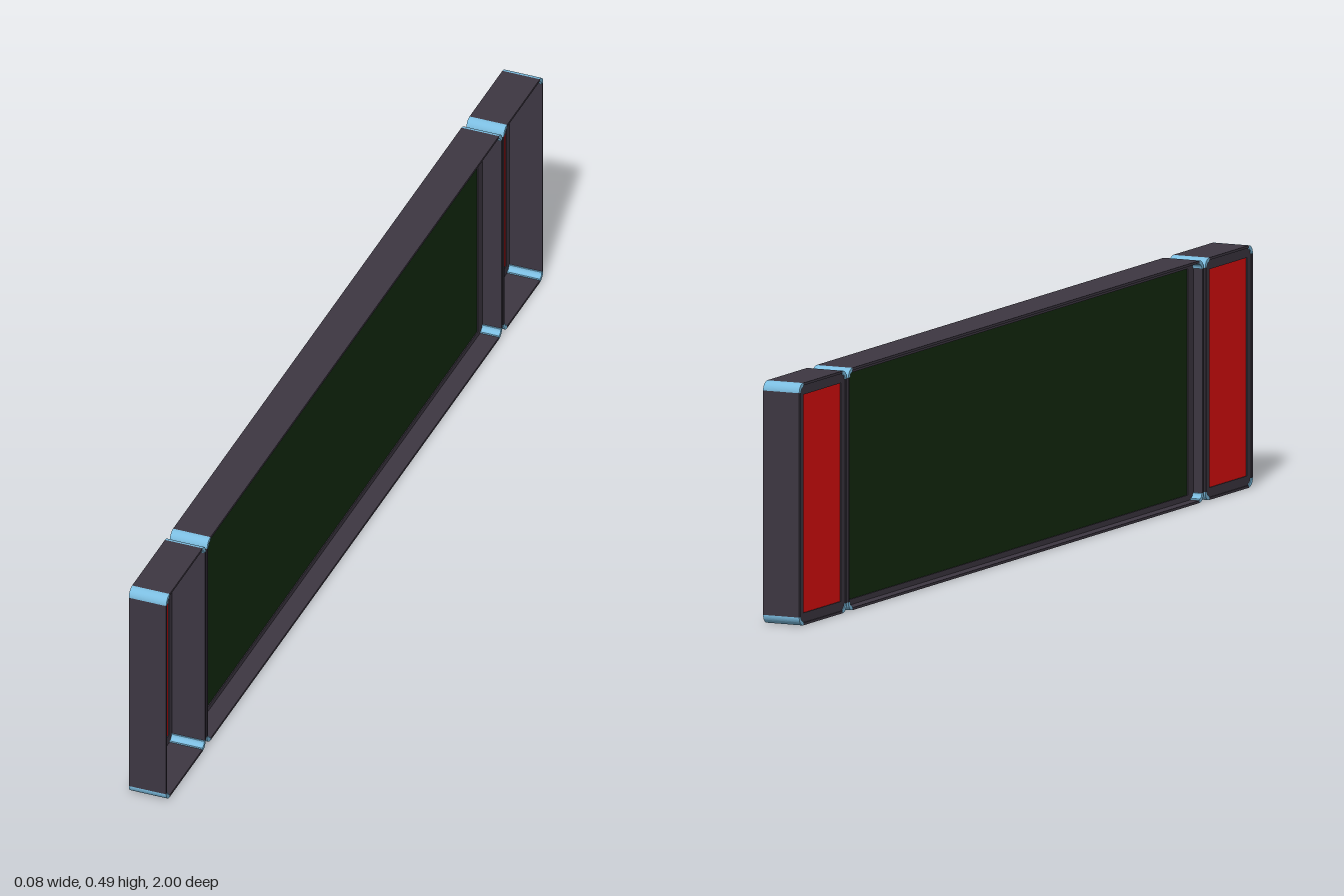
import * as THREE from 'three';

const H = 0.486, DEPTH = 0.08, R = 0.018, WALL = 0.005;
const mat = (color) => new THREE.MeshStandardMaterial({ color });

// Rounded rectangle outline centred on the origin
function roundedRect(w, h, r) {
  const s = new THREE.Shape();
  s.absarc(w / 2 - r, h / 2 - r, r, 0, Math.PI / 2);
  s.absarc(-w / 2 + r, h / 2 - r, r, Math.PI / 2, Math.PI);
  s.absarc(-w / 2 + r, -h / 2 + r, r, Math.PI, Math.PI * 1.5);
  s.absarc(w / 2 - r, -h / 2 + r, r, Math.PI * 1.5, Math.PI * 2);
  s.closePath();
  return s;
}

// Extrude a profile drawn in the panel plane along x, from x0 to x1
function extrudeX(shape, x0, x1) {
  const g = new THREE.ExtrudeGeometry(shape, { depth: x1 - x0, bevelEnabled: false, curveSegments: 8 });
  g.rotateY(Math.PI / 2);
  g.translate(x0, 0, 0);
  return g;
}

// One framed panel: four walls, four rounded corners, a retaining lip and an infill sheet
function framedPanel(name, z, width, lip, infillColor, mats) {
  const group = new THREE.Group();
  group.name = name;
  group.position.set(0, H / 2, z);
  const add = (part, geometry, material) => {
    const m = new THREE.Mesh(geometry, material);
    m.name = part;
    group.add(m);
    return m;
  };

  // Thin deep walls
  for (const s of [1, -1]) {
    add('rail', new THREE.BoxGeometry(DEPTH, WALL, width - 2 * R), mats.frame)
      .position.y = s * (H - WALL) / 2;
    add('stile', new THREE.BoxGeometry(DEPTH, H - 2 * R, WALL), mats.frame)
      .position.z = s * (width - WALL) / 2;
  }

  // Quarter-round corner pieces
  for (const [sx, sy, start] of [[1, 1, 0], [-1, 1, 1], [-1, -1, 2], [1, -1, 3]]) {
    const a = start * Math.PI / 2, b = a + Math.PI / 2;
    const cx = sx * (width / 2 - R), cy = sy * (H / 2 - R);
    const s = new THREE.Shape();
    s.absarc(cx, cy, R, a, b, false);
    s.absarc(cx, cy, R - 0.008, b, a, true);
    s.closePath();
    add('cornerPiece', extrudeX(s, -DEPTH / 2, DEPTH / 2), mats.corner);
  }

  // Lip that holds the sheet
  const innerW = width - 2 * lip.side, innerH = H - 2 * lip.top;
  const ring = roundedRect(width - WALL, H - WALL, R - WALL / 2);
  ring.holes.push(new THREE.Path([
    new THREE.Vector2(-innerW / 2, -innerH / 2), new THREE.Vector2(-innerW / 2, innerH / 2),
    new THREE.Vector2(innerW / 2, innerH / 2), new THREE.Vector2(innerW / 2, -innerH / 2),
  ]));
  add('lip', extrudeX(ring, lip.x0, lip.x1), mats.frame);

  // Infill sheet
  add('sheet', new THREE.BoxGeometry(lip.x1 - lip.x0 - 0.004, innerH, innerW), mat(infillColor))
    .position.x = (lip.x0 + lip.x1) / 2;
  return group;
}

export function createModel() {
  const model = new THREE.Group();
  model.name = 'framedPanels';
  const mats = { frame: mat(0x3d3742), corner: mat(0x7cbde0) };

  // Wide centre panel, set near mid-depth
  model.add(framedPanel('centrePanel', 0, 1.566,
    { side: 0.029, top: 0.016, x0: -0.02, x1: 0 }, 0x132b0f, mats));

  // Narrow end panels, set towards the -x face
  for (const s of [1, -1]) {
    model.add(framedPanel(s > 0 ? 'frontPanel' : 'backPanel', s * 0.895, 0.21,
      { side: 0.022, top: 0.024, x0: -0.038, x1: -0.03 }, 0xe00e0e, mats));
  }
  return model;
}
